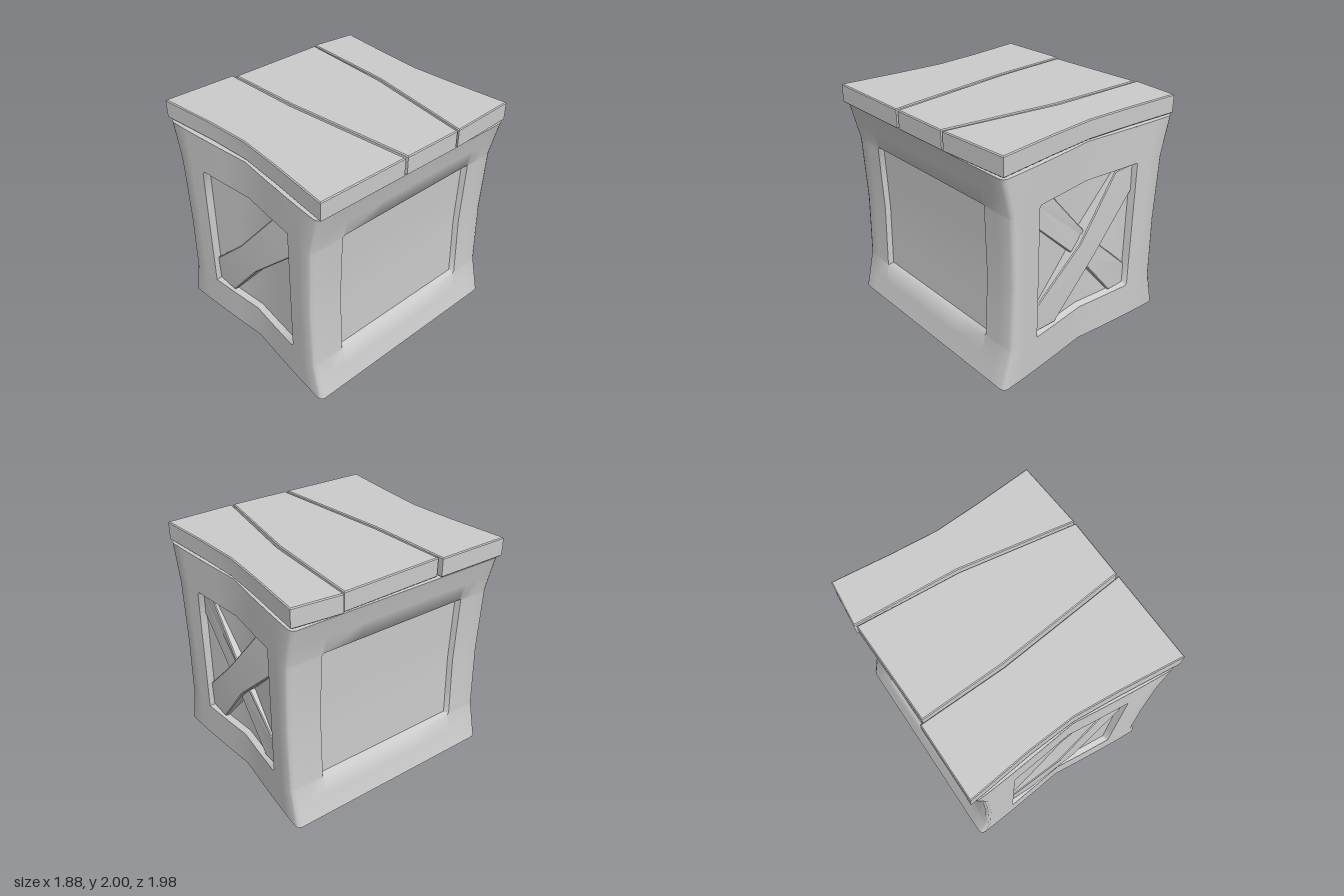
import * as THREE from 'three';
import { toCreasedNormals, mergeGeometries } from 'three/addons/utils/BufferGeometryUtils.js';

const HX = 0.91, HZ = 0.99, H = 1.83, MID = H / 2;
const DEPTH = 0.055; // depth of the sunken panels
const material = new THREE.MeshStandardMaterial({ color: 0xcccccc });

// Grid lines across a face: edge, bevel, frame, panel, and the same mirrored
function gridLines(half, panel) {
  const side = [half, half - 0.04, (half + panel) / 2, panel + 0.02, panel, panel / 2];
  return [...side.map((s) => -s), 0, ...side.reverse()];
}

// Pinch the waist, curve the front and back inward and soften the edges
function deform(p) {
  const { x, y, z } = p;
  const t = Math.abs(y);
  const waist = t < 0.58 ? 0.1 - 0.02 * (t / 0.58) : 0.08 * (1 - (t - 0.58) / (MID - 0.58));
  const outer = THREE.MathUtils.clamp((Math.abs(x) - 0.54) / (HX - 0.54), 0, 1);
  p.x -= Math.sign(x) * waist * outer;
  p.z -= 0.08 * Math.pow(Math.max(0, 1 - Math.abs(x) / HX), 1.3) * (z / HZ);
  const onX = Math.abs(x) > HX - 0.001, onY = t > MID - 0.001, onZ = Math.abs(z) > HZ - 0.001;
  if (onX && onZ) { p.x -= Math.sign(x) * 0.012; p.z -= Math.sign(z) * 0.012; }
  if (onY && (onX || onZ)) p.y -= Math.sign(y) * 0.006;
  p.y += MID;
}

// One face of the body: a grid whose inner area is sunk along the normal
function face(n, u, v, halfN, halfU, halfV, panelU, panelV, depth) {
  const us = gridLines(halfU, panelU), vs = gridLines(halfV, panelV);
  const geo = new THREE.PlaneGeometry(1, 1, us.length - 1, vs.length - 1);
  const pos = geo.attributes.position, p = new THREE.Vector3();
  for (let i = 0; i < pos.count; i++) {
    const a = us[i % us.length], b = vs[vs.length - 1 - Math.floor(i / us.length)];
    const sunk = Math.abs(a) <= panelU + 0.001 && Math.abs(b) <= panelV + 0.001;
    p.set(0, 0, 0).addScaledVector(n, halfN - (sunk ? depth : 0));
    p.addScaledVector(u, a).addScaledVector(v, b);
    deform(p);
    pos.setXYZ(i, p.x, p.y, p.z);
  }
  return geo;
}

function bodyGeometry() {
  const X = new THREE.Vector3(1, 0, 0), Y = new THREE.Vector3(0, 1, 0), Z = new THREE.Vector3(0, 0, 1);
  const neg = (a) => a.clone().negate();
  const faces = [
    face(Z, X, Y, HZ, HX, MID, 0.52, 0.565, DEPTH),
    face(neg(Z), neg(X), Y, HZ, HX, MID, 0.52, 0.565, DEPTH),
    face(X, neg(Z), Y, HX, HZ, MID, 0.67, 0.565, DEPTH),
    face(neg(X), Z, Y, HX, HZ, MID, 0.67, 0.565, DEPTH),
    face(neg(Y), X, Z, MID, HX, HZ, 0.56, 0.65, DEPTH),
    face(Y, X, neg(Z), MID, HX, HZ, 0.56, 0.65, 0),
  ];
  return toCreasedNormals(mergeGeometries(faces), 1.05);
}

const shapeOf = (points) => new THREE.Shape(points.map(([x, y]) => new THREE.Vector2(x, y)));

// Lid plank from its outline in x and z
function plank(name, outline) {
  const geo = new THREE.ExtrudeGeometry(shapeOf(outline.map(([x, z]) => [x, -z])), {
    depth: 0.144, bevelThickness: 0.008, bevelSize: 0.008, bevelOffset: -0.008, bevelSegments: 1,
  });
  geo.rotateX(-Math.PI / 2).translate(0, 1.848, 0);
  const mesh = new THREE.Mesh(toCreasedNormals(geo, 0.5), material);
  mesh.name = name;
  return mesh;
}

// Diagonal brace, waisted in the middle and bowed outward there
function brace(name, mirror, slim, endZ, bow) {
  const points = [
    [-0.53, 0.345], [-0.31 - slim, 0.345], [0.09 - slim / 2, 0.83 + slim / 2], [0.53, 1.25 + slim],
    [0.53, 1.485], [0.32 + slim, 1.485], [-0.09 + slim / 2, 1.0 - slim / 2], [-0.53, 0.58 - slim],
  ].map(([x, y]) => [x * mirror, y]);
  const geo = new THREE.ExtrudeGeometry(shapeOf(points), {
    depth: 0.14, bevelThickness: 0.008, bevelSize: 0.008, bevelOffset: -0.008, bevelSegments: 1,
  });
  geo.translate(0, 0, endZ - 0.148);
  const pos = geo.attributes.position;
  for (let i = 0; i < pos.count; i++) {
    const t = Math.abs(pos.getX(i) * mirror + pos.getY(i) - MID);
    pos.setZ(i, pos.getZ(i) + bow * Math.max(0, 1 - t));
  }
  const mesh = new THREE.Mesh(toCreasedNormals(geo, 0.5), material);
  mesh.name = name;
  return mesh;
}

export function createModel() {
  const crate = new THREE.Group();
  crate.name = 'crate';

  const body = new THREE.Mesh(bodyGeometry(), material);
  body.name = 'body';
  crate.add(body);

  // Lid of three crooked planks
  const lid = new THREE.Group();
  lid.name = 'lid';
  lid.add(
    plank('backPlank', [[-0.94, -0.58], [-0.9, -0.99], [-0.4, -0.945], [0, -0.92], [0.4, -0.945],
      [0.91, -0.99], [0.94, -0.38], [-0.05, -0.54]]),
    plank('middlePlank', [[-0.925, -0.565], [-0.05, -0.515], [0.94, -0.36], [0.94, 0.17],
      [-0.2, 0.29], [-0.905, 0.32]]),
    plank('frontPlank', [[-0.935, 0.34], [-0.2, 0.315], [0.94, 0.195], [0.94, 0.99],
      [0.4, 0.935], [0, 0.905], [-0.4, 0.93], [-0.935, 0.99]]),
  );
  crate.add(lid);

  // One brace in front, a crossed pair at the back
  crate.add(brace('frontBrace', 1, 0, 0.925, 0.04));
  const back = new THREE.Group();
  back.name = 'backBraces';
  back.rotation.y = Math.PI;
  back.add(brace('outerBrace', 1, 0, 0.925, 0.04), brace('innerBrace', -1, 0.04, 0.92, 0.01));
  crate.add(back);

  return crate;
}
